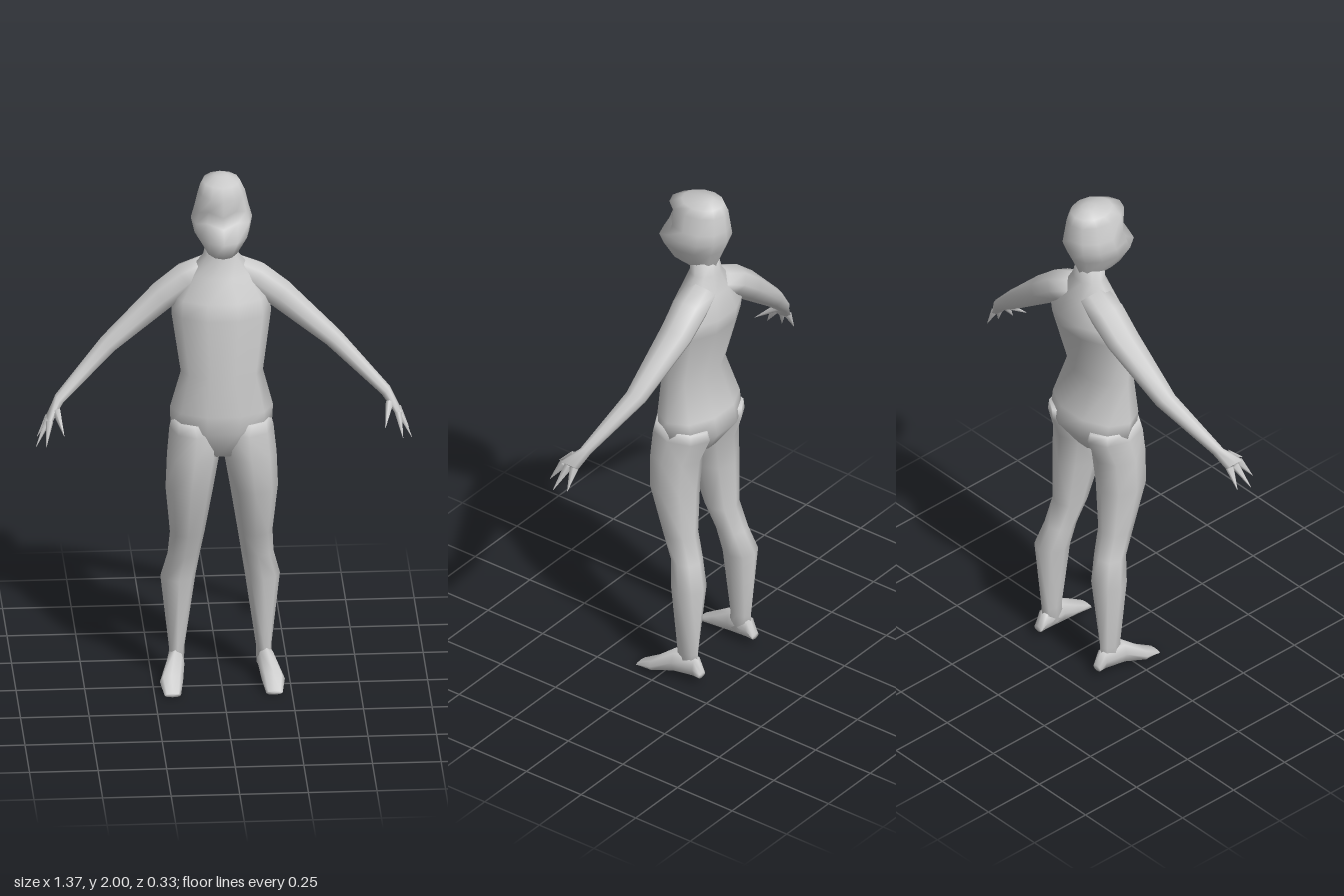
import * as THREE from 'three';

const material = new THREE.MeshStandardMaterial({ color: 0xcccccc });
const V = (x, y, z) => new THREE.Vector3(x, y, z);

// Closed smooth skin over rings { c: centre, u, v: half axes }; shape(p, angle) may move a point
function loft(name, rings, sides = 8, shape) {
  const pos = [], index = [];
  for (const { c, u, v } of rings) {
    for (let i = 0; i < sides; i++) {
      const a = (i / sides) * Math.PI * 2;
      const p = c.clone().addScaledVector(u, Math.cos(a)).addScaledVector(v, Math.sin(a));
      if (shape) shape(p, a);
      pos.push(p.x, p.y, p.z);
    }
  }
  const last = (rings.length - 1) * sides;
  const first = rings[0].c, end = rings[rings.length - 1].c;
  const capA = pos.length / 3;
  pos.push(first.x, first.y, first.z, end.x, end.y, end.z);
  for (let i = 0; i < sides; i++) {
    const j = (i + 1) % sides;
    for (let r = 0; r < last; r += sides) {
      index.push(r + i, r + j, r + sides + i, r + j, r + sides + j, r + sides + i);
    }
    index.push(capA, j, i, capA + 1, last + i, last + j);
  }
  // Turn the faces outward whichever way the rings run
  const at = (k) => V(pos[3 * k], pos[3 * k + 1], pos[3 * k + 2]);
  let volume = 0;
  for (let k = 0; k < index.length; k += 3) {
    volume += at(index[k]).dot(at(index[k + 1]).cross(at(index[k + 2])));
  }
  if (volume < 0) index.reverse();
  const g = new THREE.BufferGeometry();
  g.setAttribute('position', new THREE.Float32BufferAttribute(pos, 3));
  g.setIndex(index);
  g.computeVertexNormals();
  const mesh = new THREE.Mesh(g, material);
  mesh.name = name;
  return mesh;
}

// Level ring from its limits
const level = (y, x0, x1, z0, z1) => ({
  c: V((x0 + x1) / 2, y, (z0 + z1) / 2),
  u: V((x1 - x0) / 2, 0, 0),
  v: V(0, 0, (z1 - z0) / 2),
});

// Upright ring facing forward, from its limits
const upright = (z, x0, x1, y0, y1) => ({
  c: V((x0 + x1) / 2, (y0 + y1) / 2, z),
  u: V((x1 - x0) / 2, 0, 0),
  v: V(0, (y1 - y0) / 2, 0),
});

function torso() {
  // y, half width, back, front
  return loft('torso', [
    [0.93, 0.08, -0.09, 0.06],
    [1.03, 0.185, -0.16, 0.098],
    [1.1, 0.188, -0.145, 0.1],
    [1.25, 0.15, -0.09, 0.09],
    [1.47, 0.182, -0.15, 0.08],
    [1.53, 0.175, -0.16, 0.06],
    [1.62, 0.12, -0.135, 0.025],
    [1.69, 0.065, -0.11, 0.0],
    [1.76, 0.05, -0.1, 0.01],
  ].map(([y, w, b, f]) => level(y, -w, w, b, f)), 10);
}

function head() {
  // Hollow the eyes on either side of the nose
  const face = (p, a) => {
    const off = Math.abs(a - Math.PI / 2);
    if (off > 0.3 && off < 0.8 && p.y > 1.83 && p.y < 1.92) p.z -= 0.045;
  };
  return loft('head', [
    [1.715, 0.045, -0.1, 0.06],
    [1.73, 0.06, -0.105, 0.1],
    [1.8, 0.1, -0.135, 0.138],
    [1.85, 0.112, -0.152, 0.11],
    [1.89, 0.1, -0.148, 0.095],
    [1.955, 0.085, -0.142, 0.095],
    [1.985, 0.068, -0.125, 0.04],
    [2.0, 0.025, -0.085, -0.03],
  ].map(([y, w, b, f]) => level(y, -w, w, b, f)), 12, face);
}

function leg(s, side) {
  // y, inner, outer, back, front
  return loft(side + 'Leg', [
    [1.06, 0.03, 0.18, -0.14, 0.085],
    [1.02, 0.0, 0.19, -0.145, 0.098],
    [0.92, 0.008, 0.2, -0.105, 0.097],
    [0.79, 0.03, 0.205, -0.1, 0.09],
    [0.6, 0.06, 0.187, -0.1, 0.03],
    [0.5, 0.075, 0.193, -0.13, -0.015],
    [0.4, 0.09, 0.218, -0.162, -0.03],
    [0.12, 0.13, 0.187, -0.14, -0.05],
    [0.05, 0.132, 0.188, -0.14, -0.04],
  ].map(([y, i, o, b, f]) => level(y, s * i, s * o, b, f)));
}

function foot(s, side) {
  // z, inner, outer, bottom, top
  return loft(side + 'Foot', [
    [-0.16, 0.14, 0.18, 0.028, 0.05],
    [-0.135, 0.133, 0.187, 0.025, 0.11],
    [-0.05, 0.133, 0.2, 0.016, 0.12],
    [0.03, 0.143, 0.228, 0.006, 0.06],
    [0.1, 0.155, 0.215, 0, 0.015],
  ].map(([z, i, o, b, t]) => upright(z, s * i, s * o, b, t)));
}

function arm(s, side) {
  const across = V(s * 0.68, 0.73, 0);
  const ring = ([x, y, z, depth, thick]) => ({
    c: V(s * x, y, z), u: V(0, 0, depth), v: across.clone().multiplyScalar(thick),
  });
  // Centre, half depth, half thickness from shoulder to knuckles
  return loft(side + 'Arm', [
    [0.04, 1.63, -0.07, 0.06, 0.055],
    [0.12, 1.59, -0.075, 0.07, 0.06],
    [0.21, 1.52, -0.078, 0.066, 0.056],
    [0.41, 1.345, -0.05, 0.042, 0.037],
    [0.595, 1.17, 0.04, 0.022, 0.022],
    [0.635, 1.11, 0.085, 0.042, 0.015],
  ].map(ring));
}

function hand(s, side) {
  const group = new THREE.Group();
  group.name = side + 'Hand';
  // Pointed fingers: root, then tip
  const fingers = [
    [0.607, 1.14, 0.085, 0.585, 1.075, 0.168],
    [0.635, 1.11, 0.11, 0.65, 1.03, 0.16],
    [0.638, 1.11, 0.085, 0.685, 1.015, 0.12],
    [0.637, 1.11, 0.06, 0.678, 1.03, 0.06],
  ];
  fingers.forEach(([x, y, z, tx, ty, tz], i) => {
    const root = V(s * x, y, z), tip = V(s * tx, ty, tz);
    const way = tip.clone().sub(root).normalize();
    const u = V(s * 0.73, 0.68, 0).cross(way).normalize();
    const v = way.clone().cross(u);
    const ring = (c, k) => ({ c, u: u.clone().multiplyScalar(k), v: v.clone().multiplyScalar(k * 0.75) });
    group.add(loft('finger' + (i + 1), [ring(root, 0.018), ring(tip, 0.001)], 5));
  });
  return group;
}

export function createModel() {
  const model = new THREE.Group();
  model.name = 'figure';
  model.add(torso(), head());
  for (const [s, side] of [[1, 'left'], [-1, 'right']]) {
    model.add(leg(s, side), foot(s, side), arm(s, side), hand(s, side));
  }
  return model;
}
